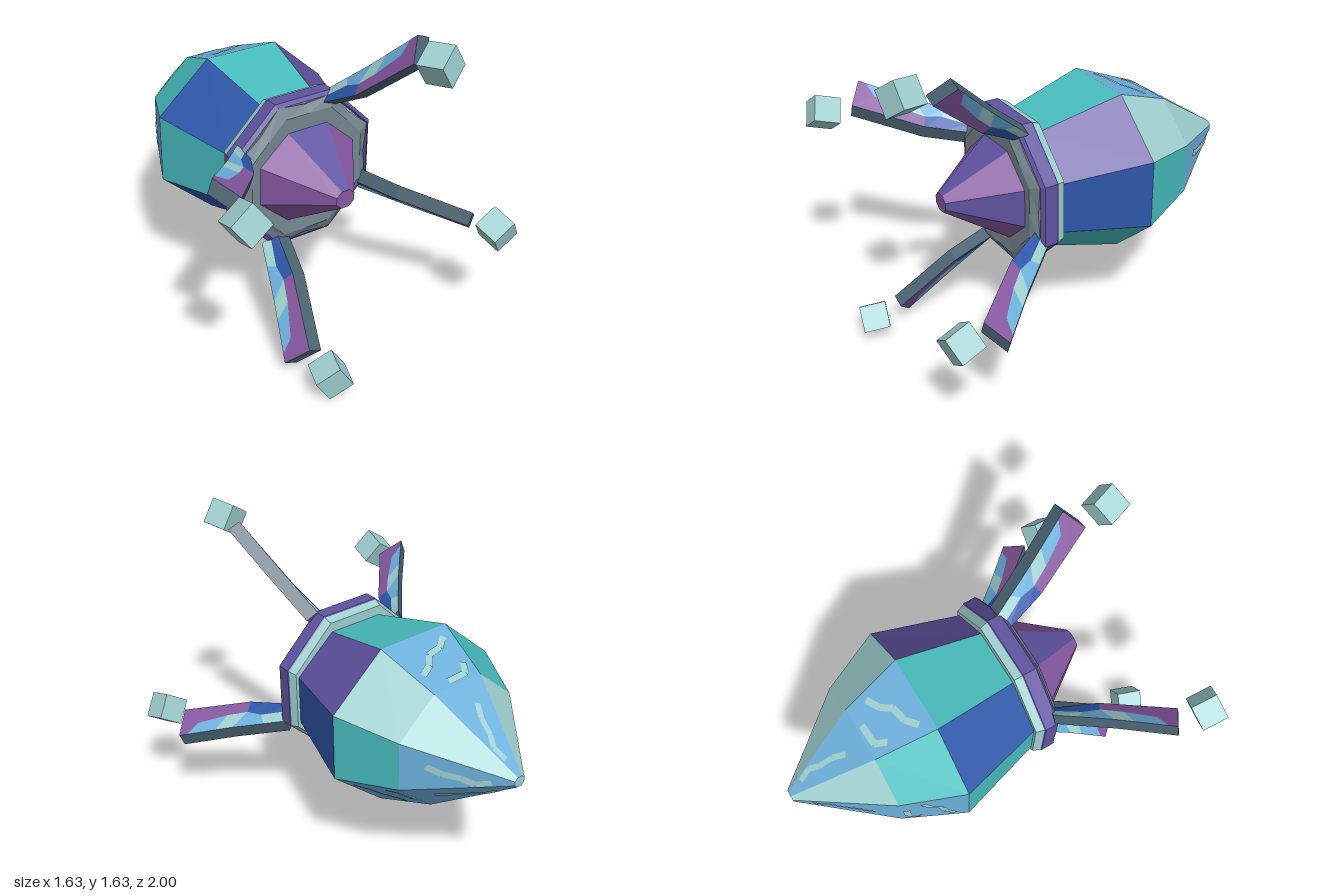
import * as THREE from 'three';

const CY = 0.825; // height of the long axis
const material = (name, color) => {
  const m = new THREE.MeshStandardMaterial({ color });
  m.name = name;
  return m;
};
const M = {
  teal: material('teal', 0x48bcbe),
  blue: material('deep blue', 0x2c56a8),
  indigo: material('indigo', 0x5f529f),
  plum: material('plum', 0x85579f),
  sky: material('sky blue', 0x6cb0dc),
  pale: material('pale aqua', 0x9fcfcf),
  slate: material('slate', 0x4a6272),
  grey: material('grey', 0x768791),
};

// Flat-shaded mesh from convex polygons (arrays of [x, y, z])
function polyMesh(name, color, polys) {
  const pos = [];
  for (const p of polys)
    for (let i = 1; i < p.length - 1; i++) pos.push(...p[0], ...p[i], ...p[i + 1]);
  const g = new THREE.BufferGeometry();
  g.setAttribute('position', new THREE.Float32BufferAttribute(pos, 3));
  g.computeVertexNormals();
  const mesh = new THREE.Mesh(g, M[color]);
  mesh.name = name;
  return mesh;
}

// Sorts polygons by colour and adds one mesh for each colour
class Painter {
  constructor() { this.sets = {}; }
  add(color, poly) { (this.sets[color] ??= []).push(poly); }
  build(name) {
    const group = new THREE.Group();
    group.name = name;
    for (const c in this.sets) group.add(polyMesh(name + ' ' + c, c, this.sets[c]));
    return group;
  }
}

// Corner k of an octagonal ring [z, rx, ry]
const corner = ([z, rx, ry], k) => {
  const a = (k - 0.5) * Math.PI / 4;
  return [rx * Math.cos(a), CY + ry * Math.sin(a), z];
};

// Octagonal loft; each band has one colour, or one for each facet (+x first, anticlockwise)
function loft(name, rings, bands) {
  const paint = new Painter();
  bands.forEach((colors, j) => {
    for (let k = 0; k < 8; k++)
      paint.add(Array.isArray(colors) ? colors[k] : colors, [
        corner(rings[j], k), corner(rings[j], k + 1),
        corner(rings[j + 1], k + 1), corner(rings[j + 1], k)]);
  });
  return paint.build(name);
}

const BODY = [[-1, 0.032, 0.029], [-0.58, 0.375, 0.333], [-0.27, 0.52, 0.46], [0.18, 0.385, 0.338]];

// Body ring at any z
function bodyRing(z) {
  let j = 0;
  while (j < 2 && z > BODY[j + 1][0]) j++;
  const t = (z - BODY[j][0]) / (BODY[j + 1][0] - BODY[j][0]);
  return BODY[j].map((v, i) => v + t * (BODY[j + 1][i] - v));
}

// Thin zigzag ribbon lying on body facet k; points are [across, z]
function ribbon(k, pts, w) {
  const place = ([x, z]) => {
    const ring = bodyRing(z);
    const s = THREE.MathUtils.clamp(0.5 - x / (0.765 * ring[1]), 0.02, 0.98);
    const a = corner(ring, k), b = corner(ring, k + 1);
    const n = k * Math.PI / 4;
    return [a[0] + s * (b[0] - a[0]) + 0.004 * Math.cos(n),
      a[1] + s * (b[1] - a[1]) + 0.004 * Math.sin(n), z - 0.002];
  };
  const polys = [];
  for (let i = 0; i < pts.length - 1; i++) {
    const [a, b] = [pts[i], pts[i + 1]];
    const l = Math.hypot(b[0] - a[0], b[1] - a[1]);
    const nx = -(b[1] - a[1]) / l * w, nz = (b[0] - a[0]) / l * w;
    polys.push([[a[0] - nx, a[1] - nz], [a[0] + nx, a[1] + nz],
      [b[0] + nx, b[1] + nz], [b[0] - nx, b[1] - nz]].map(place));
  }
  return polys;
}

// Flat jointed arm in a local frame: x outwards, y around the axis, z forward
const INNER = [[0.34, 0.29], [0.46, 0.5], [0.715, 0.78]];
const OUTER = [[0.42, 0.27], [0.62, 0.49], [0.83, 0.7]];
function armPoint(u, v, side) {
  const along = (c) => {
    const j = u < 0.5 ? 0 : 1, t = u * 2 - j;
    return [0, 1].map((i) => c[j][i] + t * (c[j + 1][i] - c[j][i]));
  };
  const a = along(INNER), b = along(OUTER);
  return [a[0] + v * (b[0] - a[0]), side * 0.036 - 0.045 * v, a[1] + v * (b[1] - a[1])];
}

function makeArm() {
  const paint = new Painter();
  // camouflage patches on both broad sides
  const U = [[0, 0, 0], [0.3, 0.28, 0.2], [0.5, 0.45, 0.5], [0.58, 0.62, 0.66], [0.8, 0.85, 0.93], [1, 1, 1]];
  const V = [0.4, 0.55, 0.4, 0.45, 0.6, 0.85];
  const rows = [['blue', 'blue', 'plum', 'plum', 'plum'], ['pale', 'sky', 'pale', 'sky', 'plum']];
  for (const side of [1, -1])
    rows.forEach((row, r) => row.forEach((color, i) => {
      const v = (n, e) => [0, V[n], 1][r + e];
      const quad = [[i, 0], [i + 1, 0], [i + 1, 1], [i, 1]]
        .map(([n, e]) => armPoint(U[n][r + e], v(n, e), side));
      paint.add(color, side > 0 ? quad : quad.reverse());
    }));
  // dark narrow edges
  const loop = [[0, 0], [0.5, 0], [1, 0], [1, 1], [0.5, 1], [0, 1]];
  loop.forEach((a, i) => {
    const b = loop[(i + 1) % loop.length];
    paint.add('slate', [armPoint(...a, -1), armPoint(...b, -1), armPoint(...b, 1), armPoint(...a, 1)]);
  });
  return paint.build('arm');
}

export function createModel() {
  const model = new THREE.Group();
  model.name = 'squid craft';

  // Faceted body tapering to the rear
  model.add(loft('body', BODY, [
    ['sky', 'pale', 'sky', 'pale', 'sky', 'pale', 'pale', 'sky'],
    ['teal', 'pale', 'sky', 'teal', 'sky', 'teal', 'pale', 'sky'],
    ['blue', 'indigo', 'teal', 'blue', 'teal', 'blue', 'indigo', 'teal'],
  ]));
  model.add(loft('tail cap', [[-1, 0, 0], BODY[0]], ['pale']));

  // Pale zigzag markings on the sky blue facets
  const rear = [[-0.03, -0.68], [0.0, -0.74], [0.01, -0.81], [0.035, -0.86], [0.015, -0.92]];
  const front = [
    [[-0.13, -0.33], [-0.07, -0.375], [0.01, -0.39], [0.05, -0.44], [0.12, -0.475]],
    [[-0.11, -0.49], [-0.08, -0.545], [0.03, -0.55]],
  ];
  const marks = ribbon(0, rear, 0.018);
  for (const k of [2, 4, 7]) {
    marks.push(...ribbon(k, rear, 0.014));
    for (const line of front) marks.push(...ribbon(k, line, 0.016));
  }
  model.add(polyMesh('zigzag markings', 'pale', marks));

  // Collar rings
  model.add(loft('collar',
    [[0.17, 0.35, 0.31], [0.17, 0.405, 0.395], [0.21, 0.42, 0.412], [0.215, 0.425, 0.417],
      [0.285, 0.425, 0.417], [0.3, 0.405, 0.397], [0.285, 0.4, 0.39], [0.28, 0.26, 0.25]],
    ['pale', 'pale', 'indigo', 'indigo', 'indigo', 'indigo', 'pale']));

  // Star-edged grey face plate
  const plate = [];
  const star = (i, r, dip, z) => {
    const a = i * Math.PI / 8, q = i % 2 ? r : r - dip;
    return [q * Math.cos(a), CY + q * Math.sin(a), z];
  };
  const steps = [[0.39, 0.045, 0.27], [0.4, 0.045, 0.3], [0.34, 0.025, 0.325], [0.24, 0.01, 0.32]];
  for (let j = 0; j < 3; j++)
    for (let i = 0; i < 16; i++)
      plate.push([star(i, ...steps[j]), star(i + 1, ...steps[j]),
        star(i + 1, ...steps[j + 1]), star(i, ...steps[j + 1])]);
  model.add(polyMesh('face plate', 'grey', plate));

  // Faceted nose cone
  model.add(loft('nose cone', [[0.315, 0.297, 0.26], [0.63, 0.054, 0.048], [0.63, 0, 0]],
    [['indigo', 'plum', 'indigo', 'plum', 'plum', 'plum', 'plum', 'plum'], 'plum']));

  // Four arms, each with a floating cube ahead of its tip
  for (let i = 0; i < 4; i++) {
    const limb = new THREE.Group();
    limb.name = 'limb ' + (i + 1);
    limb.position.y = CY;
    limb.rotation.z = THREE.MathUtils.degToRad(68.6 + 90 * i);
    const cube = new THREE.Mesh(new THREE.BoxGeometry(0.132, 0.132, 0.132), M.pale);
    cube.name = 'floating cube';
    cube.position.set(0.763, 0.015, 0.91);
    cube.rotation.set(0.25, 0.22, -0.62);
    limb.add(makeArm(), cube);
    model.add(limb);
  }
  return model;
}
